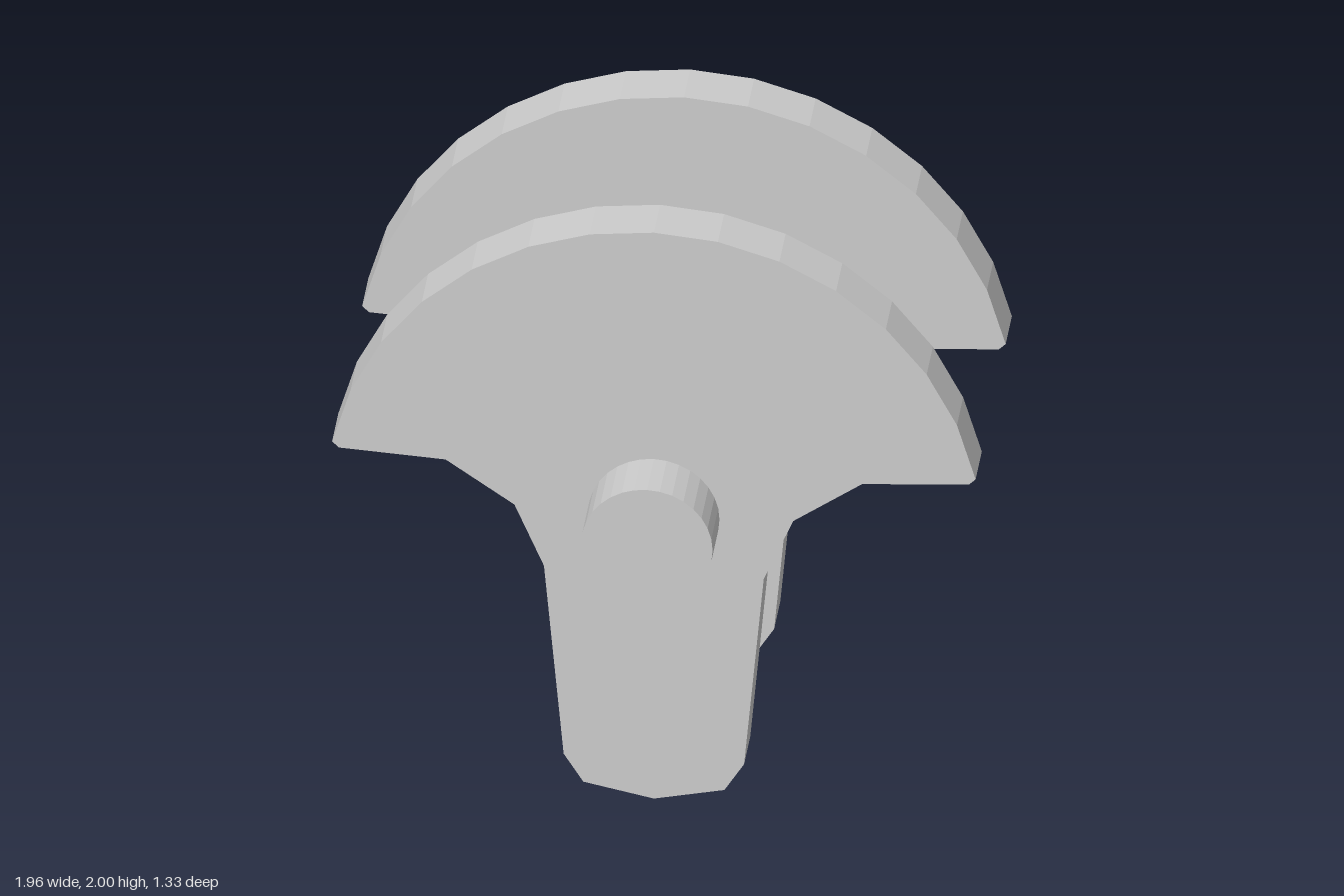
import * as THREE from 'three';

const material = new THREE.MeshStandardMaterial({ color: 0xcccccc, flatShading: true });

// Half outline of a crank web, from the bottom centre up to the counterweight
function webShape() {
  const half = [
    [0.215, 0.045], [0.275, 0.14], [0.335, 0.8], [0.425, 1.01],
    [0.635, 1.155], [0.96, 1.175],
  ];
  // Counterweight rim: arc of radius 1 around the main axis
  for (let i = 7; i >= 1; i--) {
    const a = (i * Math.PI) / 16;
    half.push([Math.sin(a), 1 + Math.cos(a)]);
  }
  const mirrored = half.map(([x, y]) => [-x, y]).reverse();
  const outline = [[0, 0], ...half, [0, 2], ...mirrored];
  return new THREE.Shape(outline.map(([x, y]) => new THREE.Vector2(x, y)));
}

// Round shaft along z
function shaft(name, radius, length, y, z) {
  const geometry = new THREE.CylinderGeometry(radius, radius, length, 32);
  geometry.rotateX(Math.PI / 2);
  const mesh = new THREE.Mesh(geometry, material);
  mesh.name = name;
  mesh.position.set(0, y, z);
  return mesh;
}

export function createModel() {
  const group = new THREE.Group();
  group.name = 'crankshaftSection';

  const webGeometry = new THREE.ExtrudeGeometry(webShape(), { depth: 0.165, bevelEnabled: false });
  webGeometry.translate(0, 0, -0.0825);

  // Front and back webs, each with a main journal on its outer face
  for (const [side, label] of [[1, 'front'], [-1, 'back']]) {
    const web = new THREE.Mesh(webGeometry, material);
    web.name = label + 'Web';
    web.position.z = side * 0.4;
    group.add(web, shaft(label + 'Journal', 0.2, 0.183, 1, side * 0.574));
  }

  // Crank pin joining the webs
  group.add(shaft('crankPin', 0.165, 0.635, 0.497, 0));
  return group;
}
